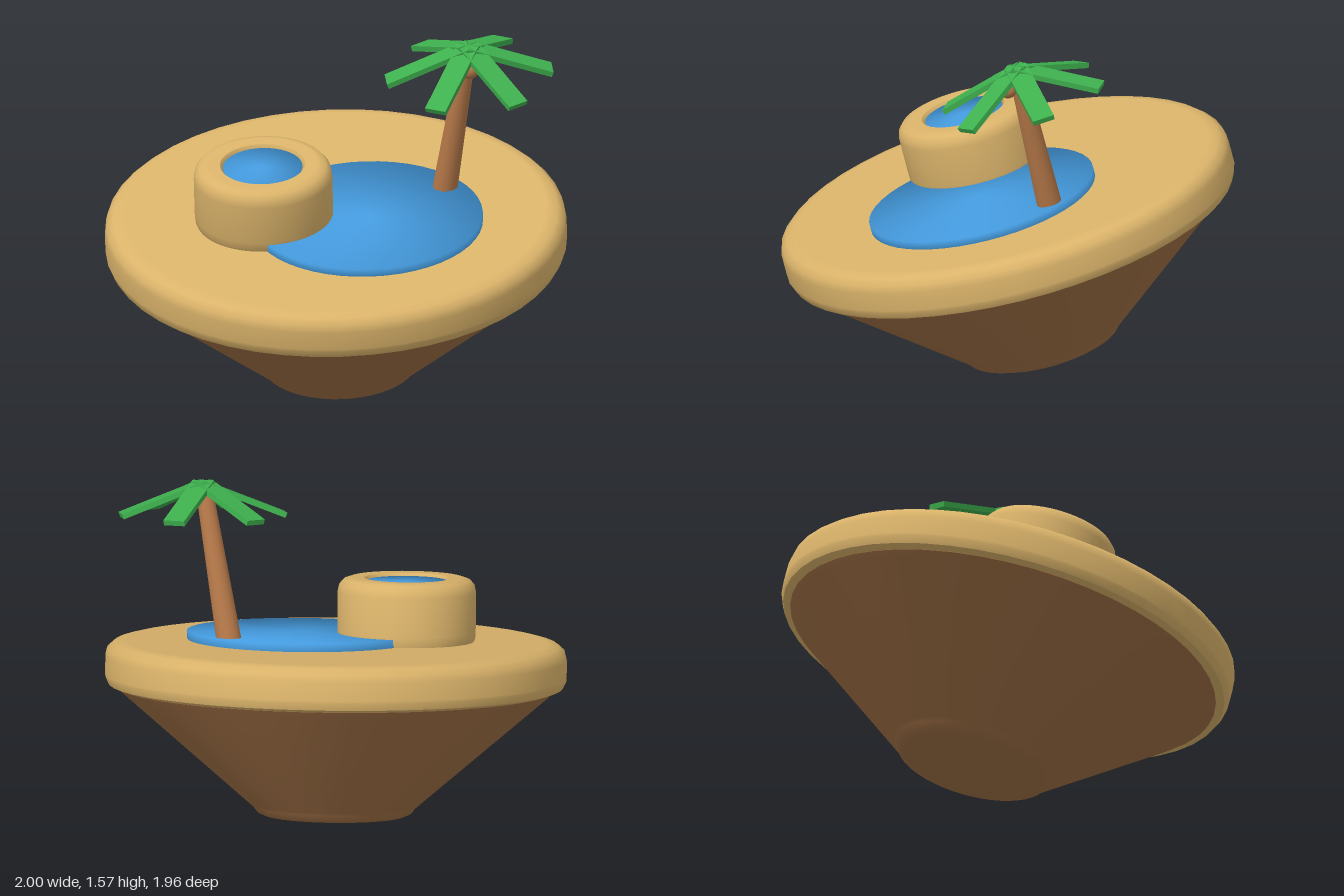
import * as THREE from 'three';
import { toCreasedNormals } from 'three/addons/utils/BufferGeometryUtils.js';

function material(name, color) {
  const m = new THREE.MeshStandardMaterial({ color });
  m.name = name;
  return m;
}

export function createModel() {
  const sand = material('sand', 0xdab36a);
  const earth = material('earth', 0xa07045);
  const bark = material('bark', 0xb87a4a);
  const water = material('water', 0x459ce0);
  const leaf = material('leaf green', 0x3eb04e);

  const model = new THREE.Group();
  model.name = 'floatingIsland';

  // Everything sits on one axis that leans toward the front
  const island = new THREE.Group();
  island.name = 'tiltedIsland';
  island.rotation.x = 0.245;
  island.position.set(0, 0.04, -0.162);
  model.add(island);

  function add(name, geometry, mat, x = 0, y = 0, z = 0, parent = island) {
    const mesh = new THREE.Mesh(geometry, mat);
    mesh.name = name;
    mesh.position.set(x, y, z);
    parent.add(mesh);
    return mesh;
  }

  // Turned solid from [radius, height] pairs, listed from bottom to top
  function turned(profile, sides = 48) {
    const points = profile.map(([r, y]) => new THREE.Vector2(r, y));
    return toCreasedNormals(new THREE.LatheGeometry(points, sides), 0.7);
  }

  // Water disc with normals rounded over the rim
  function waterDisc(radius, height) {
    return toCreasedNormals(new THREE.CylinderGeometry(radius, radius, height, 48), Math.PI);
  }

  // Earth cone below
  add('earthBase', turned([
    [0, 0.032], [0.29, 0.032], [0.305, 0.032], [0.335, 0.045], [0.352, 0.068],
    [0.365, 0.079], [0.93, 0.566], [0.95, 0.585], [0.95, 0.61],
  ]), earth);

  // Sand plate with a rounded rim
  add('sandPlate', turned([
    [0, 0.587], [0.94, 0.587], [0.955, 0.587], [0.985, 0.598], [1, 0.63],
    [1, 0.64], [1, 0.72], [0.992, 0.752], [0.965, 0.776], [0.925, 0.786],
    [0.915, 0.786], [0, 0.786],
  ]), sand);

  // Large pool
  add('pool', waterDisc(0.5, 0.06), water, 0.15, 0.791, 0.09);

  // Raised tub with its own water
  const tub = new THREE.Group();
  tub.name = 'tub';
  tub.position.set(-0.3, 0, 0.092);
  island.add(tub);
  add('tubWall', turned([
    [0.285, 0.77], [0.298, 0.8], [0.3, 0.83], [0.3, 1.0], [0.294, 1.03],
    [0.275, 1.052], [0.245, 1.062], [0.235, 1.062], [0.185, 1.06], [0.17, 1.04], [0.17, 1.0],
  ]), sand, 0, 0, 0, tub);
  add('tubWater', waterDisc(0.172, 0.04), water, 0, 1.028, 0, tub);

  // Leaning palm trunk
  const foot = new THREE.Vector3(0.452, 0.78, -0.2);
  const crown = new THREE.Vector3(0.575, 1.495, -0.217);
  const axis = crown.clone().sub(foot);
  const trunk = add('palmTrunk', new THREE.CylinderGeometry(0.036, 0.055, axis.length(), 20), bark);
  trunk.position.copy(foot).addScaledVector(axis, 0.5);
  trunk.quaternion.setFromUnitVectors(new THREE.Vector3(0, 1, 0), axis.clone().normalize());

  // Nut under the crown
  add('coconut', new THREE.SphereGeometry(0.04, 20, 14), bark, 0.585, 1.415, -0.16);

  // Six drooping fronds
  const fronds = new THREE.Group();
  fronds.name = 'palmFronds';
  fronds.position.copy(crown);
  island.add(fronds);
  const frondShape = new THREE.BoxGeometry(0.385, 0.024, 0.096).translate(0.1925, 0, 0);
  for (let i = 0; i < 6; i++) {
    const frond = add('frond', frondShape, leaf, 0, 0, 0, fronds);
    frond.rotation.set(0, 0.21 - i * Math.PI / 3, -0.37, 'YXZ');
  }

  return model;
}
